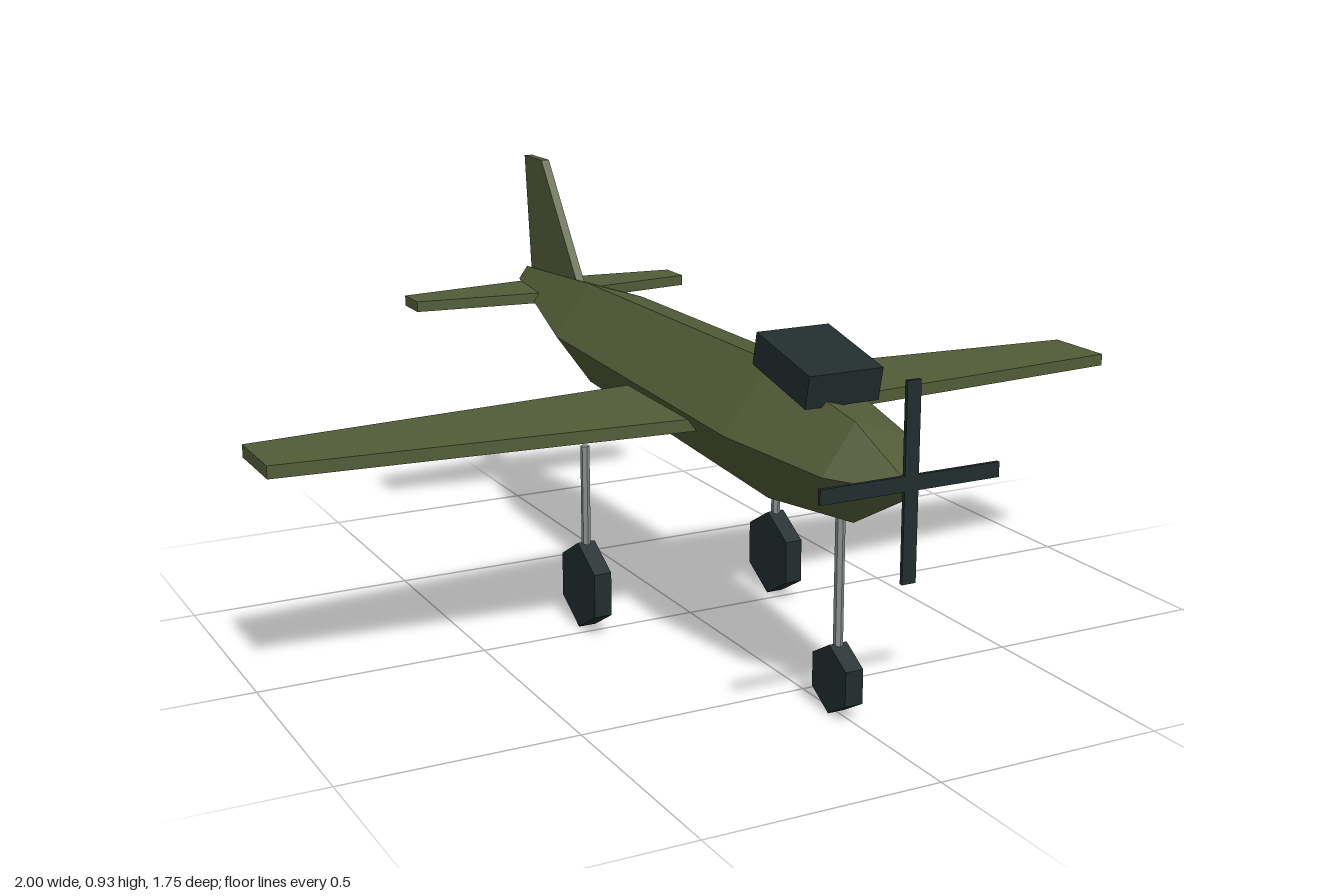
import * as THREE from 'three';

const paint = (name, color) => {
  const m = new THREE.MeshStandardMaterial({ color, flatShading: true });
  m.name = name;
  return m;
};

// Skins closed cross-sections, each wound counter-clockwise about the direction of travel
function loft(rings) {
  const pos = [];
  const tri = (a, b, c) => pos.push(...a, ...b, ...c);
  const n = rings[0].length;
  for (let i = 0; i < rings.length - 1; i++) {
    for (let j = 0; j < n; j++) {
      const k = (j + 1) % n;
      const [a, b, c, d] = [rings[i][j], rings[i][k], rings[i + 1][k], rings[i + 1][j]];
      tri(a, b, c);
      tri(a, c, d);
    }
  }
  const first = rings[0], last = rings[rings.length - 1];
  for (let j = 1; j < n - 1; j++) {
    tri(first[0], first[j + 1], first[j]);
    tri(last[0], last[j], last[j + 1]);
  }
  const g = new THREE.BufferGeometry();
  g.setAttribute('position', new THREE.Float32BufferAttribute(pos, 3));
  g.computeVertexNormals();
  return g;
}

// Five-sided fuselage section
const pentagon = ([z, y, r]) => Array.from({ length: 5 }, (_, k) => {
  const a = Math.PI + k * Math.PI * 2 / 5;
  return [r * Math.cos(a), y + r * Math.sin(a), z];
});

// Tapered slab from tip to tip; root and tip give [rear z, front z]
function taperedWing(span, y0, y1, root, tip) {
  const section = (x, [z0, z1]) => [[x, y0, z0], [x, y1, z0], [x, y1, z1], [x, y0, z1]];
  return loft([section(-span, tip), section(0, root), section(span, tip)]);
}

export function createModel() {
  const model = new THREE.Group();
  model.name = 'airplane';
  const olive = paint('olive paint', 0x525c38);
  const dark = paint('dark rubber and glass', 0x212d2e);
  const metal = paint('strut metal', 0x8a8e90);

  const add = (name, geometry, material, x = 0, y = 0, z = 0, parent = model) => {
    const mesh = new THREE.Mesh(geometry, material);
    mesh.name = name;
    mesh.position.set(x, y, z);
    parent.add(mesh);
    return mesh;
  };

  // Body: rear to nose as [z, centre height, radius]
  add('fuselage', loft([
    [-0.88, 0.617, 0.032],
    [-0.44, 0.564, 0.125],
    [0.43, 0.54, 0.15],
    [0.73, 0.528, 0.104],
    [0.87, 0.525, 0.015],
  ].map(pentagon)), olive);

  // Flying surfaces
  add('wing', taperedWing(1, 0.5, 0.527, [-0.087, 0.252], [0, 0.17]), olive);
  add('tailplane', taperedWing(0.36, 0.59, 0.615, [-0.865, -0.69], [-0.82, -0.735]), olive);
  const finSection = (y, z0, z1, t = 0.01) => [[-t, y, z0], [-t, y, z1], [t, y, z1], [t, y, z0]];
  add('fin', loft([finSection(0.62, -0.847, -0.545), finSection(0.93, -0.88, -0.775)]), olive);

  // Canopy, tipped down toward the nose
  add('canopy', new THREE.BoxGeometry(0.165, 0.07, 0.21), dark, 0, 0.69, 0.535).rotation.x = 0.22;

  // Crossed propeller blades
  const propeller = new THREE.Group();
  propeller.name = 'propeller';
  propeller.position.set(0, 0.542, 0.871);
  model.add(propeller);
  add('horizontalBlade', new THREE.BoxGeometry(0.39, 0.03, 0.008), dark, 0, 0, 0, propeller);
  add('verticalBlade', new THREE.BoxGeometry(0.03, 0.39, 0.008), dark, 0, 0, 0, propeller);

  // Landing gear: thin strut above a six-sided wheel
  const gear = (name, x, z, radius) => {
    const group = new THREE.Group();
    group.name = name;
    group.position.set(x, 0, z);
    model.add(group);
    const length = 0.415 - radius;
    add('strut', new THREE.CylinderGeometry(0.01, 0.01, length, 6), metal, 0, radius + length / 2, 0, group);
    const wheel = new THREE.CylinderGeometry(radius, radius, 0.04, 6).rotateZ(Math.PI / 2);
    // Corner of the hexagon points straight up
    wheel.computeBoundingBox();
    if (wheel.boundingBox.max.y < radius * 0.95) wheel.rotateX(Math.PI / 6);
    add('wheel', wheel, dark, 0, radius, 0, group);
  };
  gear('noseGear', 0, 0.632, 0.073);
  gear('leftGear', 0.24, -0.035, 0.098);
  gear('rightGear', -0.24, -0.035, 0.098);

  return model;
}
